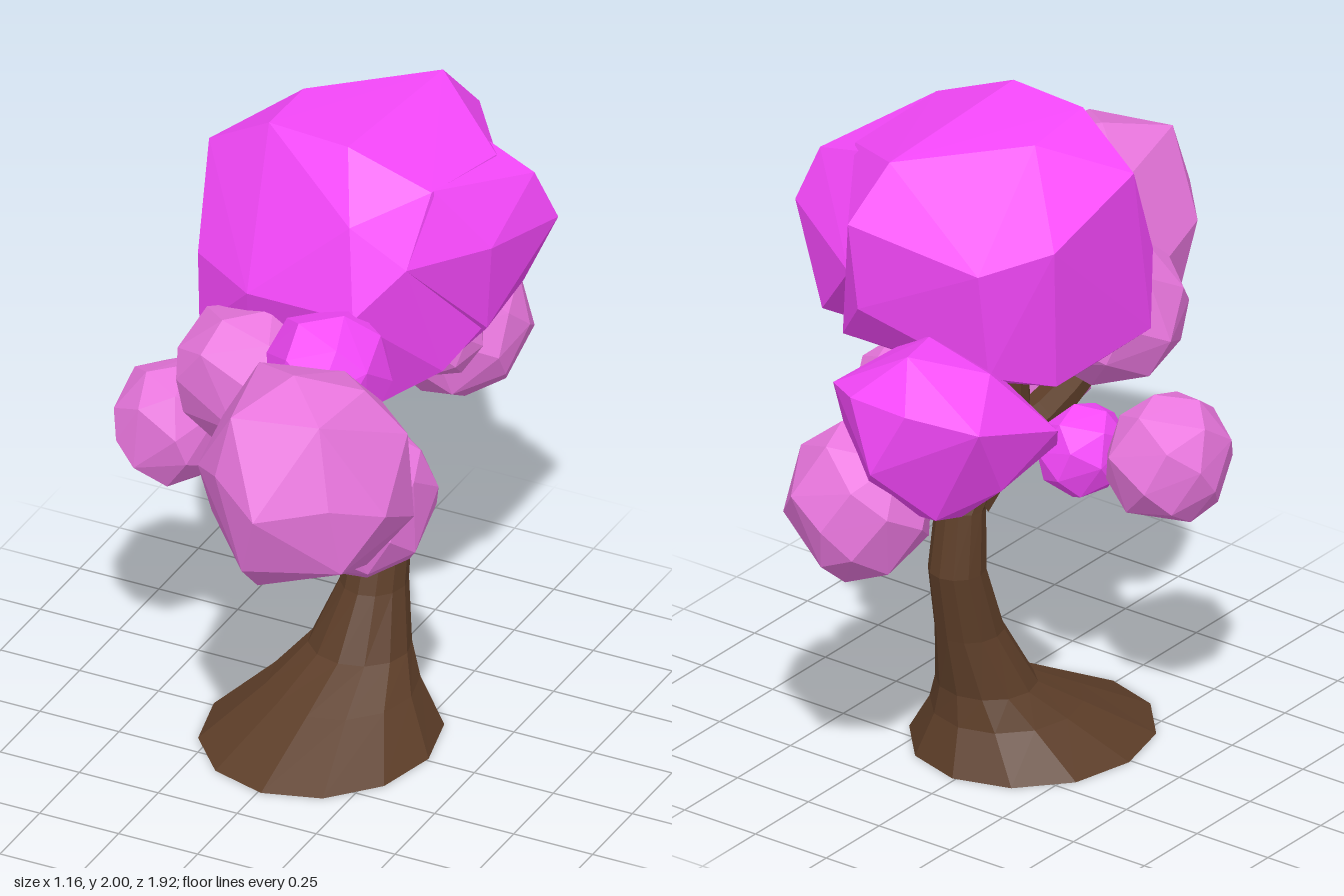
import * as THREE from 'three';
import { ConvexGeometry } from 'three/addons/geometries/ConvexGeometry.js';

const paint = (color) => new THREE.MeshStandardMaterial({ color, flatShading: true });
const MAGENTA = paint(0xf648fb), PINK = paint(0xe876dd), BARK = paint(0x5c3d28);

const part = (name, geometry, material) => {
  const mesh = new THREE.Mesh(geometry, material);
  mesh.name = name;
  return mesh;
};

const seeded = (seed) => () => {
  seed = (seed * 16807) % 2147483647;
  return seed / 2147483647;
};

// Faceted hull from corner points
const hull = (points) => new ConvexGeometry(points.map((p) => new THREE.Vector3(...p)));

// Rough faceted ball: jittered spiral of points, fitted to a centre and half sizes
function ball(centre, half, seed, count) {
  const random = seeded(seed * 7919 + 13);
  const points = [];
  for (let i = 0; i < count; i++) {
    const y = 1 - (2 * (i + 0.5)) / count;
    const a = i * 2.39996 + (random() - 0.5) * 0.5;
    const r = Math.sqrt(1 - y * y);
    points.push(new THREE.Vector3(r * Math.cos(a), y + (random() - 0.5) * 0.12, r * Math.sin(a)).normalize());
  }
  const box = new THREE.Box3().setFromPoints(points);
  const mid = box.getCenter(new THREE.Vector3());
  const size = box.getSize(new THREE.Vector3());
  const scale = new THREE.Vector3(...half).multiplyScalar(2).divide(size);
  const c = new THREE.Vector3(...centre);
  return new ConvexGeometry(points.map((p) => p.sub(mid).multiply(scale).add(c)));
}

// Skin over horizontal oval rings [y, x, z, radiusX, radiusZ]
function loft(rings, sides) {
  const position = [], index = [];
  rings.forEach(([y, x, z, rx, rz], j) => {
    for (let i = 0; i < sides; i++) {
      const a = (i / sides) * Math.PI * 2;
      position.push(x + rx * Math.cos(a), y, z + rz * Math.sin(a));
      if (j === rings.length - 1) continue;
      const low = j * sides + i, next = j * sides + ((i + 1) % sides);
      index.push(low, low + sides, next, next, low + sides, next + sides);
    }
  });
  const geometry = new THREE.BufferGeometry();
  geometry.setAttribute('position', new THREE.Float32BufferAttribute(position, 3));
  geometry.setIndex(index);
  geometry.computeVertexNormals();
  return geometry;
}

// Tube that narrows towards its tip
function branch(points, radius, tip) {
  const curve = new THREE.CatmullRomCurve3(points.map((p) => new THREE.Vector3(...p)));
  const steps = 5, sides = 7;
  const geometry = new THREE.TubeGeometry(curve, steps, radius, sides);
  const position = geometry.attributes.position, v = new THREE.Vector3();
  for (let i = 0; i < position.count; i++) {
    const t = Math.floor(i / (sides + 1)) / steps;
    const c = curve.getPointAt(t);
    v.fromBufferAttribute(position, i).sub(c).multiplyScalar(1 + (tip / radius - 1) * t).add(c);
    position.setXYZ(i, v.x, v.y, v.z);
  }
  return geometry;
}

export function createModel() {
  const tree = new THREE.Group();
  tree.name = 'tree';

  // Curved trunk with a flared foot and a hollow underside
  tree.add(part('trunk', loft([
    [0.06, 0.01, -0.03, 0.001, 0.001],
    [0.05, 0.01, -0.03, 0.2, 0.23],
    [0, 0.01, -0.01, 0.34, 0.38],
    [0.13, 0.035, -0.1, 0.215, 0.23],
    [0.22, 0.05, -0.175, 0.15, 0.14],
    [0.4, 0.065, -0.235, 0.097, 0.105],
    [0.61, 0.07, -0.287, 0.083, 0.085],
    [0.8, 0.073, -0.267, 0.075, 0.068],
    [0.95, 0.055, -0.175, 0.073, 0.085],
    [1.06, 0.045, -0.105, 0.065, 0.1],
    [1.28, 0.05, -0.09, 0.055, 0.075],
  ], 12), BARK));

  // Branches reaching into the foliage
  tree.add(part('frontBranch', branch([[0.07, 0.82, -0.25], [0.05, 0.93, -0.1], [0.02, 0.985, 0.06], [0.01, 1.06, 0.24]], 0.08, 0.05), BARK));
  tree.add(part('sideBranch', branch([[0.05, 0.95, -0.02], [-0.12, 0.91, 0.05], [-0.38, 0.92, 0.06]], 0.03, 0.012), BARK));

  // Large top crown
  tree.add(part('crown', hull([
    [-0.34, 1.87, 0], [-0.13, 2, 0.04], [0.13, 2, 0.06], [0.38, 1.9, 0.03], [0.2, 1.82, 0.19],
    [0.42, 1.86, -0.3], [0.2, 1.8, -0.63], [-0.14, 1.98, -0.2], [0.15, 1.96, -0.5],
    [-0.2, 1.72, -0.55], [-0.32, 1.75, -0.35], [-0.31, 1.57, 0.13], [-0.1, 1.55, 0.24],
    [0.25, 1.57, 0.27], [0.36, 1.7, 0.15], [-0.31, 1.32, 0.12], [-0.15, 1.18, 0.12],
    [0.2, 1.17, 0.11], [0.4, 1.3, 0], [0.48, 1.42, -0.15], [0.3, 1.38, -0.52],
    [0.18, 1.53, -0.61], [-0.2, 1.38, -0.5], [0.02, 1.18, -0.2], [-0.29, 1.3, -0.3],
    [0.35, 1.24, -0.2],
  ]), MAGENTA));

  // Pointed shoulder of the crown
  tree.add(part('crownShoulder', hull([
    [0.58, 1.66, -0.37], [0.53, 1.82, -0.32], [0.52, 1.7, -0.07], [0.48, 1.4, -0.12],
    [0.44, 1.38, -0.43], [0.38, 1.9, 0.02], [0.36, 1.87, -0.35], [0.28, 1.58, -0.52],
    [0.35, 1.24, -0.2], [0.36, 1.7, 0.15],
  ]), MAGENTA));

  // Medium rear crown
  tree.add(part('rearCrown', hull([
    [-0.36, 1.35, -0.76], [-0.18, 1.4, -0.87], [-0.08, 1.2, -0.9], [0.02, 1.4, -0.86],
    [0.14, 1.38, -0.78], [0.2, 1.25, -0.62], [-0.1, 1.52, -0.75], [-0.05, 1.5, -0.58],
    [-0.28, 1.46, -0.6], [0.1, 1.4, -0.45], [-0.4, 1.25, -0.44], [-0.33, 1.15, -0.35],
    [-0.1, 1.3, -0.33], [-0.32, 1.1, -0.6], [-0.2, 1.03, -0.75], [-0.15, 0.95, -0.56],
    [0, 0.94, -0.51], [0.08, 1.08, -0.3], [0.12, 0.96, -0.66], [-0.15, 1.08, -0.29],
  ]), MAGENTA));

  // Large front foliage
  tree.add(part('frontFoliage', hull([
    [0.25, 1.59, 0.64], [0.43, 1.54, 0.55], [0.4, 1.53, 0.78], [0.15, 1.53, 0.84], [0.07, 1.51, 0.5],
    [0.3, 1.5, 0.42], [0.54, 1.4, 0.5], [0.57, 1.24, 0.7], [0.46, 1.3, 0.84], [0.28, 1.28, 0.96],
    [0.12, 1.35, 0.88], [0.01, 1.3, 0.77], [-0.07, 1.27, 0.45], [0.1, 1.35, 0.33], [0.36, 1.36, 0.31],
    [0.55, 1.12, 0.48], [0.48, 1.08, 0.8], [0.22, 1.08, 0.91], [0.01, 1.1, 0.68], [0.02, 1.1, 0.42],
    [0.2, 1.13, 0.33], [0.4, 1.1, 0.36], [0.46, 1, 0.6], [0.28, 0.93, 0.63], [0.12, 0.98, 0.55],
    [0.22, 0.98, 0.81], [0.3, 0.97, 0.46],
  ]), PINK));

  // Smaller foliage balls: name, material, centre, half sizes, points
  [
    ['rearFoliage', PINK, [0.08, 1.005, -0.73], [0.22, 0.235, 0.23], 30],
    ['leftFoliage', PINK, [0.265, 1.01, 0.285], [0.215, 0.24, 0.22], 30],
    ['rightFoliage', PINK, [-0.415, 0.96, 0.06], [0.17, 0.19, 0.18], 28],
    ['innerFoliage', PINK, [-0.09, 1.28, 0.21], [0.23, 0.22, 0.215], 30],
    ['smallLeftFoliage', PINK, [0.23, 1.19, -0.35], [0.12, 0.115, 0.13], 24],
    ['upperFrontFoliage', MAGENTA, [0.19, 1.4, 0.31], [0.17, 0.21, 0.185], 26],
    ['smallRightFoliage', MAGENTA, [-0.115, 0.9, 0.06], [0.115, 0.135, 0.145], 24],
  ].forEach(([name, material, centre, half, count], i) => {
    tree.add(part(name, ball(centre, half, i + 2, count), material));
  });

  return tree;
}
